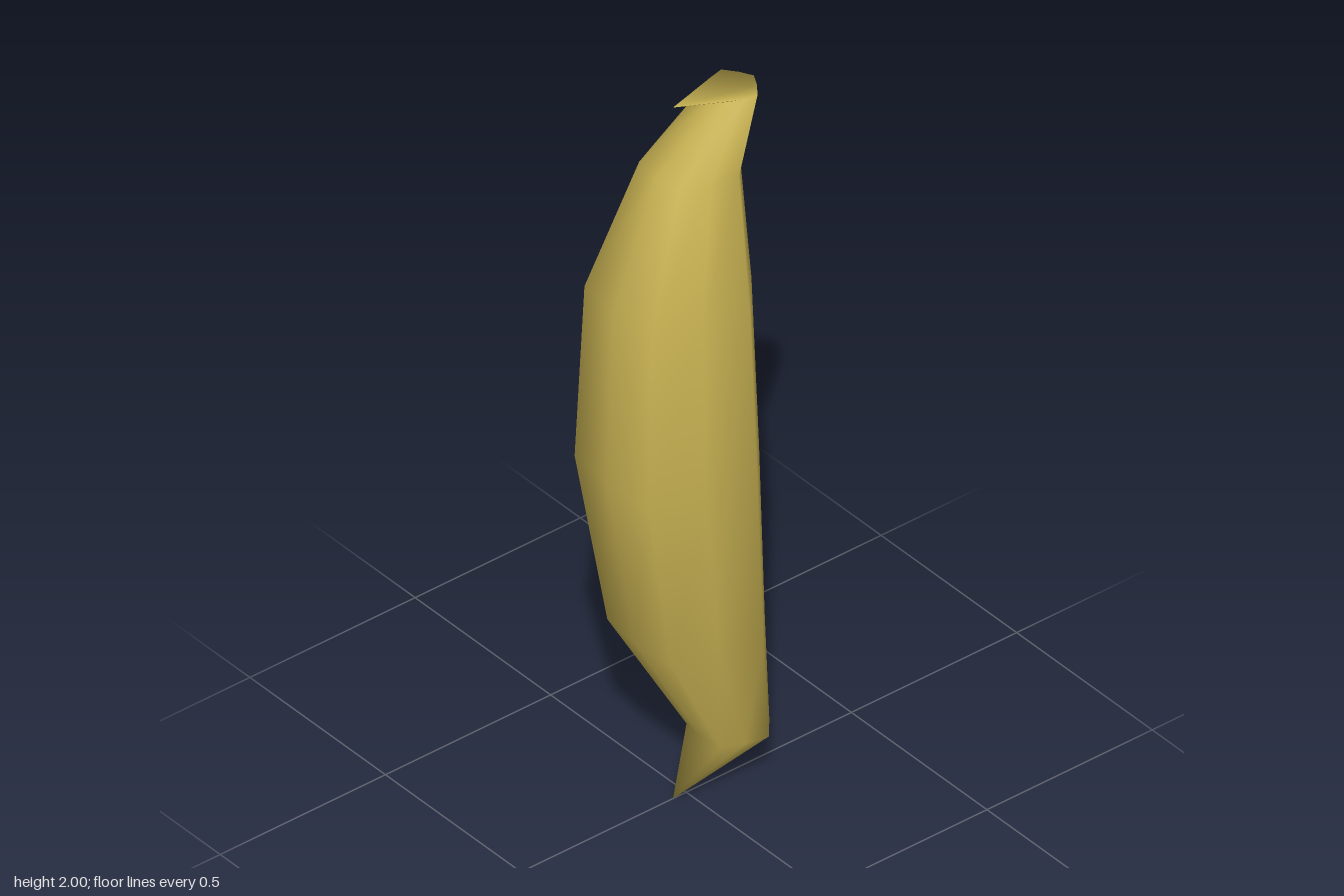
import * as THREE from 'three';

// Rings from bottom to top: [height, inner x, ridge x, half width]
const RINGS = [
  [0.14, 0.045, 0.24, 0.1],
  [0.5, -0.155, 0.215, 0.19],
  [1.0, -0.24, 0.195, 0.222],
  [1.49, -0.22, 0.175, 0.2],
  [1.82, -0.09, 0.15, 0.12],
  [1.98, 0.085, 0.205, 0.067],
];

// Half cross-section: [fraction from inner x to ridge x, fraction of half width]
const HALF = [[0, 0], [0.035, 0.62], [0.32, 0.88], [0.63, 1], [0.85, 0.5], [1, 0]];
const SECTION = [...HALF, ...HALF.slice(1, -1).reverse().map(([t, w]) => [t, -w])];

export function createModel() {
  const group = new THREE.Group();
  group.name = 'fruit';
  const yellow = new THREE.MeshStandardMaterial({ color: 0xc9b353, side: THREE.DoubleSide });
  yellow.name = 'peel yellow';

  const positions = [];
  const indices = [];
  const n = SECTION.length;
  for (const [y, x0, x1, half] of RINGS) {
    for (const [t, w] of SECTION) positions.push(x0 + (x1 - x0) * t, y, half * w);
  }

  // Sides between neighbouring rings
  for (let r = 0; r < RINGS.length - 1; r++) {
    for (let i = 0; i < n; i++) {
      const a = r * n + i;
      const b = r * n + (i + 1) % n;
      indices.push(a, b, b + n, a, b + n, a + n);
    }
  }

  // Pointed ends, both drawn over toward the inner side
  const bottom = RINGS.length * n;
  const top = bottom + 1;
  const last = (RINGS.length - 1) * n;
  positions.push(-0.04, 0, 0, -0.04, 2, 0);
  for (let i = 0; i < n; i++) {
    const j = (i + 1) % n;
    indices.push(bottom, j, i, top, last + i, last + j);
  }

  const geometry = new THREE.BufferGeometry();
  geometry.setAttribute('position', new THREE.Float32BufferAttribute(positions, 3));
  geometry.setIndex(indices);
  geometry.computeVertexNormals();

  const peel = new THREE.Mesh(geometry, yellow);
  peel.name = 'peel';
  group.add(peel);
  return group;
}
